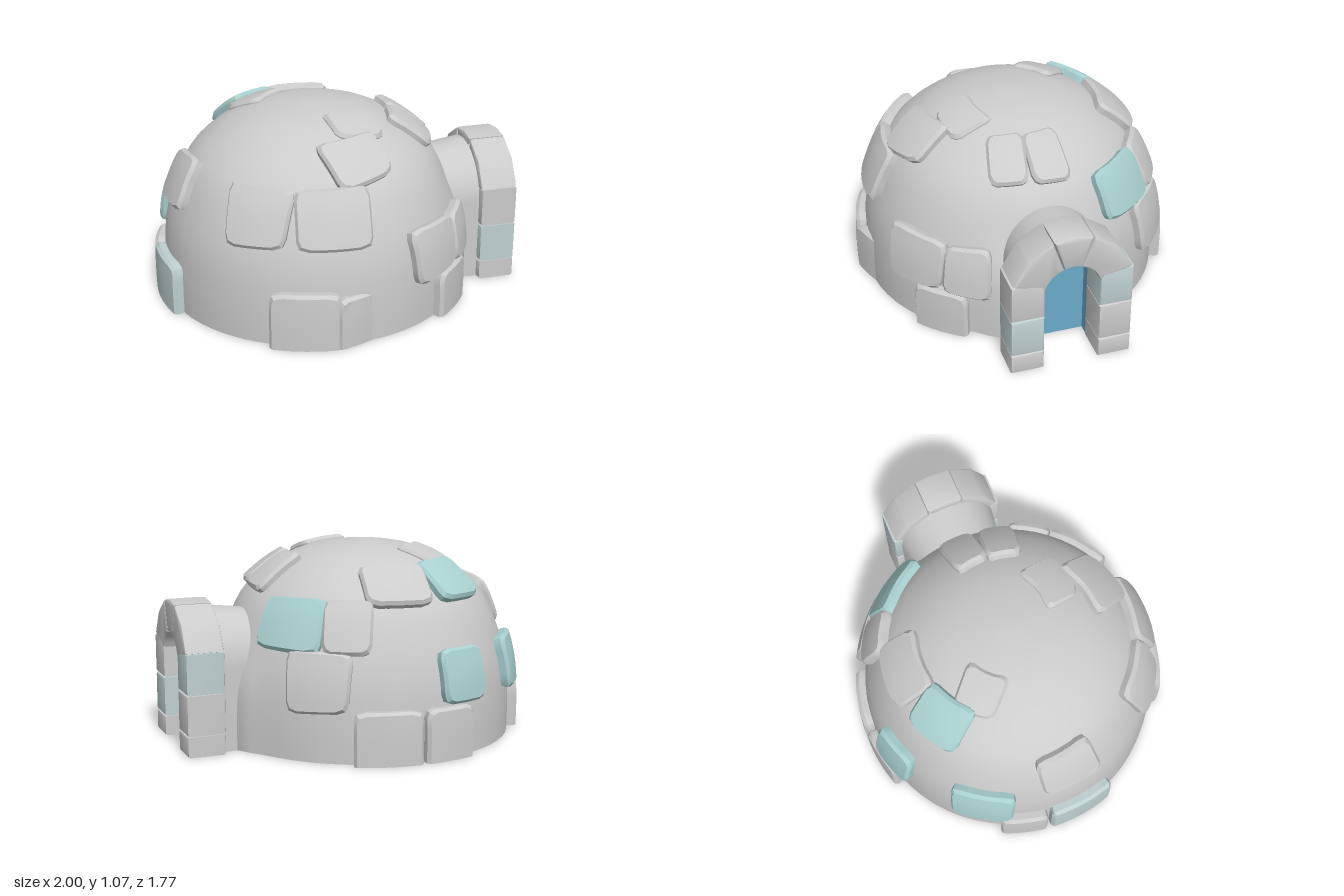
import * as THREE from 'three';
import { toCreasedNormals } from 'three/addons/utils/BufferGeometryUtils.js';

const CX = -0.11; // dome axis
const material = (color) => new THREE.MeshStandardMaterial({ color, side: THREE.DoubleSide });
const grey = material(0xcccccc);
const teal = material(0xa9d0d0);
const paleTeal = material(0xbfd0d1);
const blue = material(0x6aaac8);

// Dome profile as (radius, height) from the ground to the crown
const profile = new THREE.SplineCurve([
  [0.83, 0], [0.83, 0.2], [0.81, 0.42], [0.75, 0.62], [0.67, 0.78],
  [0.56, 0.89], [0.42, 0.98], [0.24, 1.04], [0, 1.07],
].map(([r, y]) => new THREE.Vector2(r, y)));
const LENGTH = profile.getLength();

function mesh(name, geometry, mat) {
  const m = new THREE.Mesh(geometry, mat);
  m.name = name;
  return m;
}

// Plate bent to the dome: azimuth in degrees (0 = +x, 90 = +z), s = distance up the profile,
// sink = how far its right edge drops into the wall
function domeStone([azimuth, s, w, h, roll = 0, mat = grey, sink = 0]) {
  const geo = new THREE.BoxGeometry(1, 1, 1, 6, 6, 2);
  const pos = geo.attributes.position;
  const az = THREE.MathUtils.degToRad(azimuth);
  const cr = Math.cos(roll), sr = Math.sin(roll);
  const onGround = s < 0.2;
  const skew = onGround ? 0 : 0.06 * Math.sin(azimuth * 3.7);
  const embed = 0.03 * THREE.MathUtils.smoothstep(s, 0.9, 1.15);
  for (let i = 0; i < pos.count; i++) {
    const a = pos.getX(i), b = pos.getY(i), layer = pos.getZ(i);
    const corner = Math.abs(a) > 0.49 && Math.abs(b) > 0.49 && !(onGround && b < 0);
    const inset = (layer > 0.4 ? 0.03 : 0) + (corner ? 0.025 : 0);
    const u = a * (w - inset) * (1 + skew * b * 2);
    const v = b * (h - (onGround && b < 0 ? 0 : inset)) * (1 - skew * a * 2);
    const depth = (layer < -0.4 ? -0.03 : layer > 0.4 ? 0.055 : 0.037) - embed - sink * (a + 0.5);
    const along = THREE.MathUtils.clamp((s + u * sr + v * cr) / LENGTH, 0, 0.99);
    const p = profile.getPointAt(along), t = profile.getTangentAt(along);
    const angle = az - (u * cr - v * sr) / p.x;
    const r = p.x + t.y * depth;
    const y = Math.max(0, p.y - t.x * depth);
    pos.setXYZ(i, CX + r * Math.cos(angle), y, r * Math.sin(angle));
  }
  return mesh('domeStone', toCreasedNormals(geo, 0.5), mat);
}

// Hollow dome, open underneath, swelling slightly where it meets both sides of the tunnel
function domeShell() {
  const geo = new THREE.LatheGeometry(profile.getSpacedPoints(24), 60);
  const pos = geo.attributes.position;
  for (let i = 0; i < pos.count; i++) {
    const x = pos.getX(i), y = pos.getY(i), z = pos.getZ(i);
    const offset = (Math.abs(Math.atan2(z, x)) - 0.32) / 0.12;
    const fade = 1 - THREE.MathUtils.smoothstep(y, 0.3, 0.6);
    const k = 1 + 0.05 * Math.exp(-offset * offset) * fade;
    pos.setXYZ(i, CX + x * k, y, z * k);
  }
  return mesh('dome', toCreasedNormals(geo, 1), grey);
}

// Extrude a (z, y) outline along x between x0 and x1
function extrudeX(shape, x0, x1, bevel = 0) {
  const geo = new THREE.ExtrudeGeometry(shape, {
    depth: x1 - x0 - 2 * bevel, curveSegments: 16, bevelEnabled: bevel > 0,
    bevelSize: bevel, bevelThickness: bevel, bevelOffset: -bevel, bevelSegments: 2,
  });
  return geo.translate(0, 0, x0 + bevel).rotateY(Math.PI / 2);
}

// Upside-down U with straight legs and a round top
function archFrame(inner, outer, spring) {
  const s = new THREE.Shape();
  s.moveTo(-outer, 0).lineTo(-outer, spring);
  s.absarc(0, spring, outer, Math.PI, 0, true);
  s.lineTo(outer, 0).lineTo(inner, 0).lineTo(inner, spring);
  s.absarc(0, spring, inner, 0, Math.PI, false);
  s.lineTo(-inner, 0);
  return s;
}

function archOpening(radius, spring) {
  const s = new THREE.Shape();
  s.moveTo(-radius, 0).lineTo(radius, 0).lineTo(radius, spring);
  s.absarc(0, spring, radius, 0, Math.PI, false);
  return s;
}

function entrance() {
  const g = new THREE.Group();
  g.name = 'entrance';
  const SPRING = 0.46;
  const add = (name, geo, mat) => g.add(mesh(name, toCreasedNormals(geo, 0.6), mat));

  // Tunnel, narrowing slightly toward the dome
  const tunnel = extrudeX(archFrame(0.185, 0.29, SPRING), 0.58, 0.83);
  const pos = tunnel.attributes.position;
  for (let i = 0; i < pos.count; i++) {
    const k = (0.83 - pos.getX(i)) / 0.25;
    pos.setY(i, pos.getY(i) * (1 - 0.04 * k));
    pos.setZ(i, pos.getZ(i) * (1 - 0.12 * k));
  }
  add('tunnel', tunnel, grey);

  // Blue lining and back wall
  add('tunnelLining', extrudeX(archFrame(0.152, 0.19, SPRING), 0.7, 0.86), blue);
  add('backWall', extrudeX(archOpening(0.16, SPRING), 0.725, 0.74), blue);

  // Jamb stones on both sides
  const rows = [[0, 0.11], [0.113, 0.328], [0.332, 0.548]];
  for (const side of [-1, 1]) {
    rows.forEach(([y0, y1], row) => {
      const s = new THREE.Shape();
      const a = side > 0 ? 0.148 : -0.328, b = side > 0 ? 0.328 : -0.148;
      s.moveTo(a, y0).lineTo(b, y0).lineTo(b, y1).lineTo(a, y1);
      const tinted = (side > 0 && row === 2) || (side < 0 && row === 1);
      add('jambStone', extrudeX(s, 0.79, 1, 0.015), tinted ? paleTeal : grey);
    });
  }

  // Arch stones and keystone
  for (const [from, to] of [[16, 71], [72, 108], [109, 164]]) {
    const ring = (t, r) => {
      const angle = THREE.MathUtils.degToRad(from + (to - from) * t);
      return new THREE.Vector2(r * Math.cos(angle), SPRING + r * Math.sin(angle));
    };
    const outer = [0, 0.5, 1].map((t) => ring(t, 0.33));
    const inner = [1, 0.75, 0.5, 0.25, 0].map((t) => ring(t, 0.15));
    add('archStone', extrudeX(new THREE.Shape([...outer, ...inner]), 0.79, 1, 0.015), grey);
  }
  return g;
}

export function createModel() {
  const model = new THREE.Group();
  model.name = 'iceHouse';

  // Scattered stones: azimuth, distance up the wall, width, height, roll, material, sink
  const stones = [
    // ground row
    [107, 0.155, 0.36, 0.31], [87, 0.14, 0.25, 0.28, 0, grey, 0.07], [42, 0.13, 0.3, 0.26],
    [283, 0.14, 0.35, 0.28], [260, 0.14, 0.28, 0.28],
    [174, 0.14, 0.37, 0.28, 0, paleTeal], [197, 0.13, 0.26, 0.26],
    // middle row
    [53, 0.4, 0.34, 0.29], [32, 0.39, 0.25, 0.28], [308, 0.42, 0.33, 0.31],
    [253, 0.43, 0.27, 0.28, 0, teal], [213, 0.42, 0.34, 0.28, 0, teal],
    // upper row
    [96, 0.68, 0.38, 0.31], [126, 0.68, 0.33, 0.31], [178, 0.7, 0.32, 0.28, 0.1],
    [298, 0.7, 0.25, 0.28], [322, 0.7, 0.36, 0.28, 0, teal],
    // crown
    [80, 0.97, 0.33, 0.27, 0.15], [63, 1.2, 0.28, 0.22, -0.3],
    [-4, 1.0, 0.2, 0.29], [18, 1.0, 0.2, 0.28, 0.12],
    [275, 0.94, 0.35, 0.26], [241, 0.95, 0.3, 0.27, 0, teal], [226, 1.17, 0.24, 0.24],
  ];
  const stoneGroup = new THREE.Group();
  stoneGroup.name = 'domeStones';
  stones.forEach((s) => stoneGroup.add(domeStone(s)));
  model.add(domeShell(), stoneGroup, entrance());
  return model;
}
